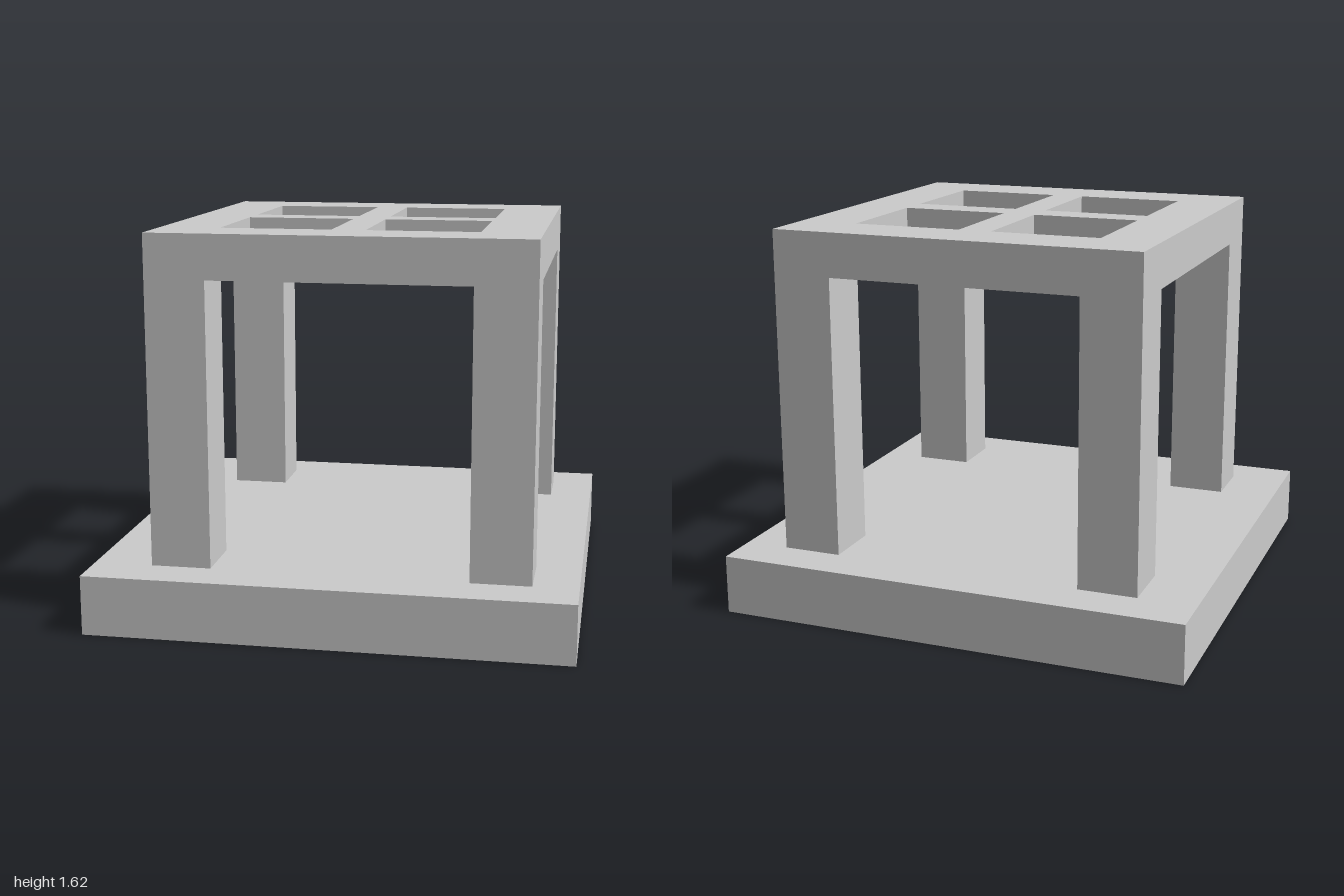
import * as THREE from 'three';

const BASE_TOP = 0.25, ROOF_BOTTOM = 1.44, ROOF_TOP = 1.625;
const OFFSET_X = 0.029;              // the frame sits slightly off the base centre
const HALF_X = 0.784, HALF_Z = 0.815; // outer half sizes of the frame
const POST = 0.25;                   // post width, also the roof border
const HALF_BAR = 0.07;               // half width of the roof's cross bars

// Trace a rectangle on a Shape or Path
function rect(path, x0, y0, x1, y1) {
  path.moveTo(x0, y0);
  path.lineTo(x1, y0);
  path.lineTo(x1, y1);
  path.lineTo(x0, y1);
  path.closePath();
  return path;
}

export function createModel() {
  const model = new THREE.Group();
  const material = new THREE.MeshStandardMaterial({ color: 0xcccccc, flatShading: true });

  const add = (name, geometry, parent, x, y, z) => {
    const mesh = new THREE.Mesh(geometry, material);
    mesh.name = name;
    mesh.position.set(x, y, z);
    parent.add(mesh);
  };

  // Square base slab
  add('base', new THREE.BoxGeometry(2, BASE_TOP, 2), model, 0, BASE_TOP / 2, 0);

  const frame = new THREE.Group();
  frame.name = 'frame';
  frame.position.x = OFFSET_X;
  model.add(frame);

  // Four corner posts, and one roof opening per quarter
  const roofShape = rect(new THREE.Shape(), -HALF_X, -HALF_Z, HALF_X, HALF_Z);
  const postHeight = ROOF_BOTTOM - BASE_TOP;
  const postGeometry = new THREE.BoxGeometry(POST, postHeight, POST);
  const innerX = HALF_X - POST, innerZ = HALF_Z - POST;
  for (const sx of [-1, 1]) {
    for (const sz of [-1, 1]) {
      const name = (sz > 0 ? 'front' : 'back') + (sx > 0 ? 'Left' : 'Right') + 'Post';
      add(name, postGeometry, frame,
        sx * (HALF_X - POST / 2), BASE_TOP + postHeight / 2, sz * (HALF_Z - POST / 2));
      roofShape.holes.push(
        rect(new THREE.Path(), sx * HALF_BAR, sz * HALF_BAR, sx * innerX, sz * innerZ));
    }
  }

  // Roof slab with four openings
  const roof = new THREE.ExtrudeGeometry(roofShape, { depth: ROOF_TOP - ROOF_BOTTOM, bevelEnabled: false });
  roof.rotateX(-Math.PI / 2);
  add('roof', roof, frame, 0, ROOF_BOTTOM, 0);

  return model;
}
